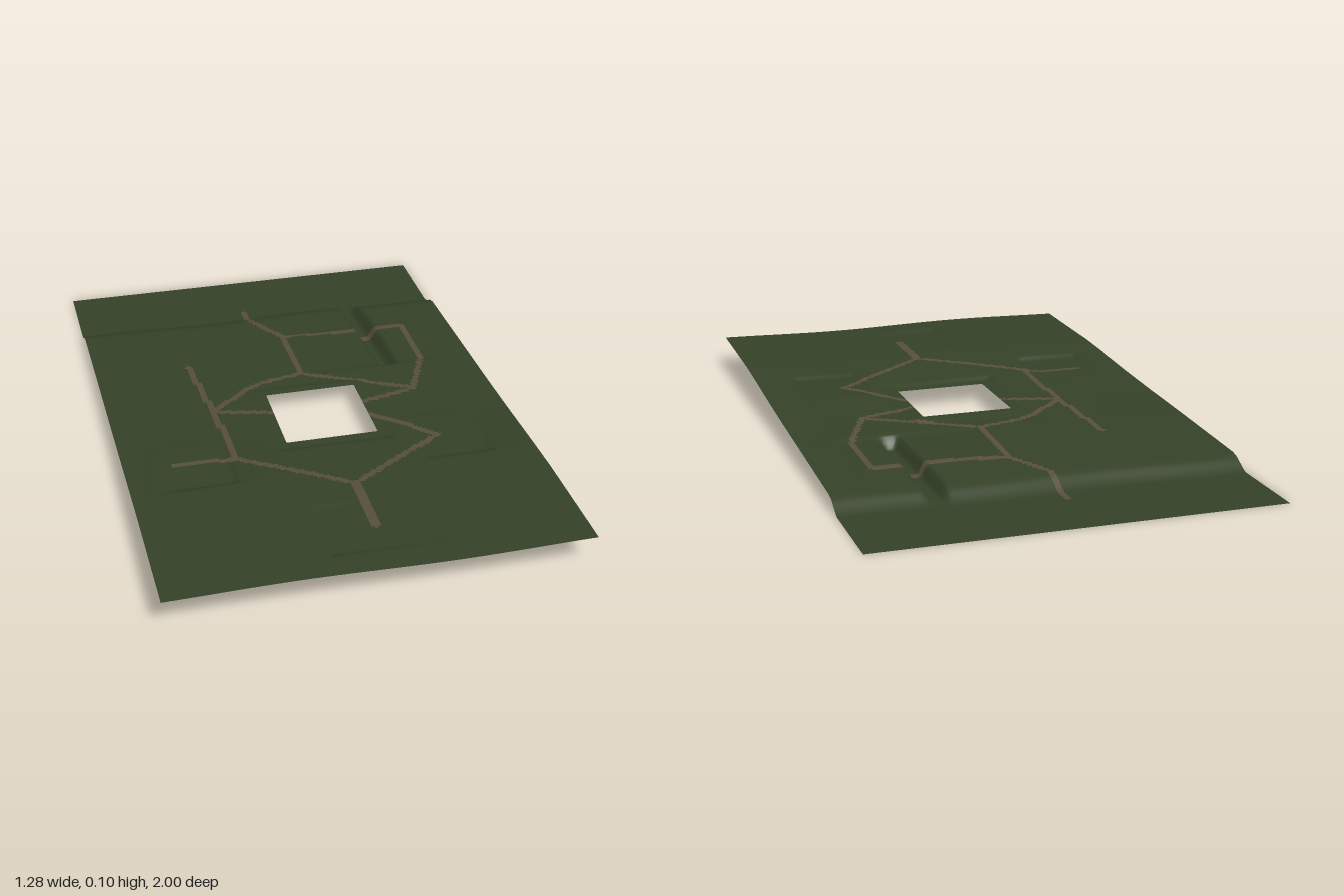
import * as THREE from 'three';

const CELL = 0.01, NX = 128, NZ = 200;
const X0 = -0.64, Z0 = -1;
const { lerp, smoothstep } = THREE.MathUtils;

// Ground height along z: upper slope, bank, then the low flat at the back
const PROFILE = [
  [-1, 0], [-0.71, 0.001], [-0.69, 0.009], [-0.65, 0.031], [-0.62, 0.038], [-0.2, 0.055],
  [0, 0.062], [0.2, 0.071], [0.45, 0.085], [0.6, 0.092], [1, 0.098],
];

// Levelled areas: x range, z range, height
const PADS = [
  [0.30, 0.50, 0.20, 0.44, 0.073],
  [-0.52, -0.32, 0.20, 0.44, 0.073],
  [-0.12, 0.20, 0.66, 0.89, 0.090],
  [-0.14, 0.22, -0.09, 0.28, 0.065],
  [0.08, 0.49, -0.46, -0.20, 0.049],
];

// Road centre lines (x, z)
const ROADS = [
  [[-0.04, -0.76], [-0.04, -0.62], [0.04, -0.475], [0.04, -0.19]],
  [[0.04, -0.475], [0.22, -0.455], [0.47, -0.455], [0.47, -0.21], [0.38, 0], [0.19, 0.05]],
  [[0.04, -0.19], [0.38, -0.005]],
  [[0.04, -0.19], [-0.1, -0.16], [-0.165, -0.125], [-0.3, 0], [-0.11, 0.05]],
  [[-0.325, -0.33], [-0.3, -0.01], [-0.285, 0.32]],
  [[-0.48, 0.3], [-0.36, 0.3], [-0.285, 0.32], [0.035, 0.545], [0.035, 0.78]],
  [[0.035, 0.545], [0.365, 0.315], [0.19, 0.125]],
];

function profileHeight(z) {
  for (let i = 1; i < PROFILE.length; i++) {
    const [za, ya] = PROFILE[i - 1], [zb, yb] = PROFILE[i];
    if (z <= zb) return lerp(ya, yb, Math.max(0, (z - za) / (zb - za)));
  }
  return PROFILE[PROFILE.length - 1][1];
}

function height(x, z) {
  // Bank line wanders a little; the slope has a soft ripple
  const bank = 0.008 * Math.sin(x * 9) * (1 - smoothstep(z, -0.6, -0.3));
  let y = profileHeight(z + bank);
  y += 0.004 * Math.cos((x + 0.25) * 6.6) * smoothstep(z, -0.4, 0.9);

  for (const [xa, xb, za, zb, level] of PADS) {
    const outside = Math.max(xa - x, x - xb, za - z, z - zb);
    y = lerp(y, level, 1 - smoothstep(outside, -0.005, 0.025));
  }

  // Narrow trench running down to the low flat
  const dx = x - lerp(0.327, 0.345, (z + 0.67) / 0.47);
  const across = smoothstep(dx, -0.035, -0.012) * (1 - smoothstep(dx, 0.012, 0.045));
  const along = 1 - smoothstep(z, -0.22, -0.185);
  const floor = lerp(0.002, 0.014, smoothstep(z, -0.72, -0.2));
  return Math.max(0, lerp(y, Math.min(y, floor), across * along));
}

function segmentDistance(x, z, [ax, az], [bx, bz]) {
  const dx = bx - ax, dz = bz - az;
  const t = THREE.MathUtils.clamp(((x - ax) * dx + (z - az) * dz) / (dx * dx + dz * dz), 0, 1);
  return Math.hypot(x - ax - t * dx, z - az - t * dz);
}

const isRoad = (x, z) => ROADS.some((path) =>
  path.some((p, i) => i > 0 && segmentDistance(x, z, path[i - 1], p) < 0.0105));

const isHole = (x, z) => x > -0.11 && x < 0.19 && z > -0.06 && z < 0.24;

export function createModel() {
  const grass = new THREE.MeshStandardMaterial({ color: 0x344127, side: THREE.DoubleSide });
  grass.name = 'grass green';
  const dirt = new THREE.MeshStandardMaterial({ color: 0x574e3b, side: THREE.DoubleSide });
  dirt.name = 'dirt brown';

  // Height grid
  const positions = [];
  for (let j = 0; j <= NZ; j++) {
    for (let i = 0; i <= NX; i++) {
      const x = X0 + i * CELL, z = Z0 + j * CELL;
      positions.push(x, height(x, z), z);
    }
  }

  // Sort the cells into grass and road, leaving the square opening empty
  const grassCells = [], roadCells = [];
  for (let j = 0; j < NZ; j++) {
    for (let i = 0; i < NX; i++) {
      const x = X0 + (i + 0.5) * CELL, z = Z0 + (j + 0.5) * CELL;
      if (isHole(x, z)) continue;
      const a = j * (NX + 1) + i, b = a + 1, c = a + NX + 1, d = c + 1;
      (isRoad(x, z) ? roadCells : grassCells).push(a, c, b, b, c, d);
    }
  }

  const geometry = new THREE.BufferGeometry();
  geometry.setAttribute('position', new THREE.Float32BufferAttribute(positions, 3));
  geometry.setIndex(grassCells.concat(roadCells));
  geometry.addGroup(0, grassCells.length, 0);
  geometry.addGroup(grassCells.length, roadCells.length, 1);
  geometry.computeVertexNormals();

  const terrain = new THREE.Mesh(geometry, [grass, dirt]);
  terrain.name = 'terrainWithRoads';

  const model = new THREE.Group();
  model.name = 'terrain';
  model.add(terrain);
  return model;
}
